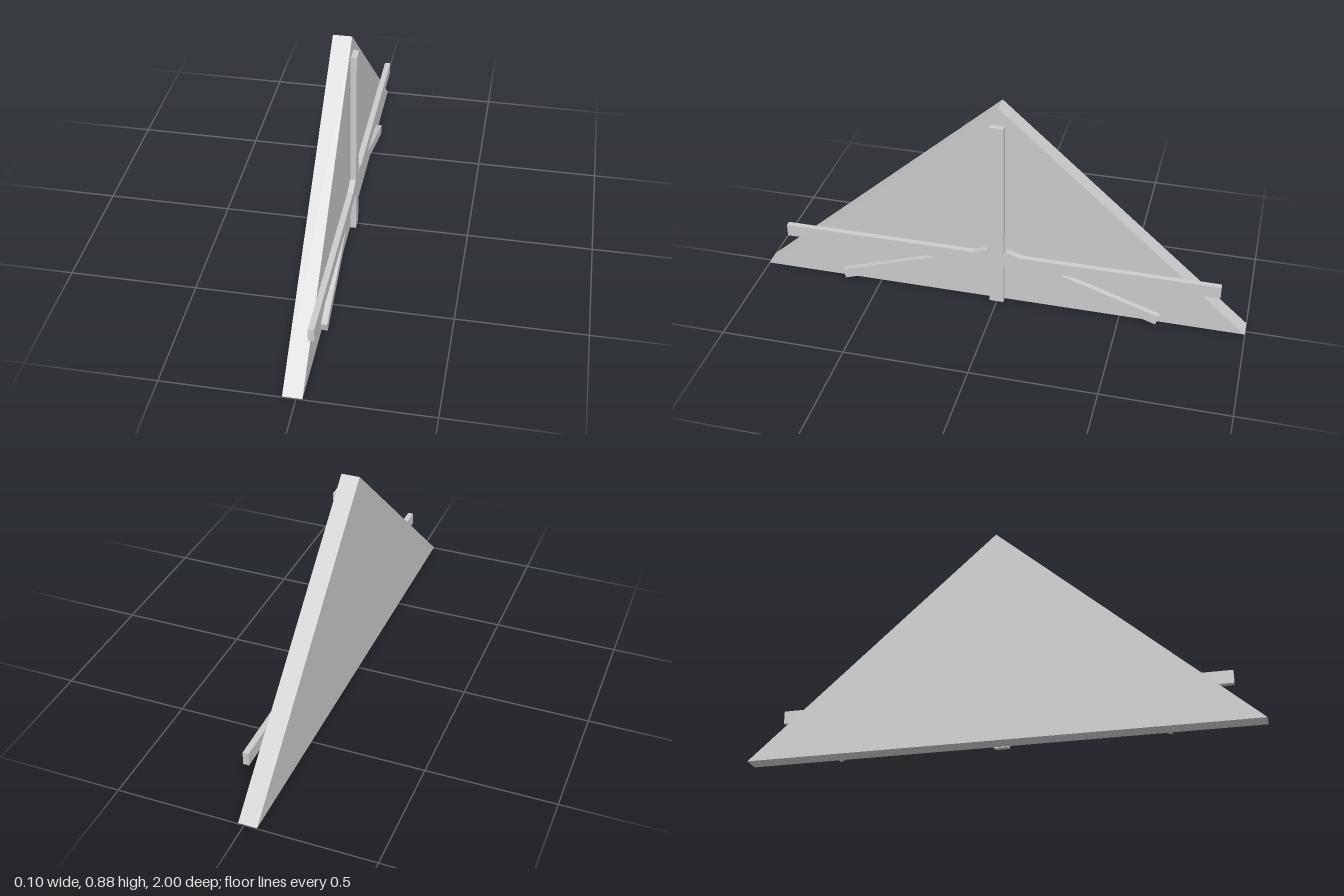
import * as THREE from 'three';

const material = new THREE.MeshStandardMaterial({ color: 0xcccccc, flatShading: true });

// Extrudes a side outline of [z, y] points between x0 and x1
function slab(name, points, x0, x1) {
  const shape = new THREE.Shape(points.map(([z, y]) => new THREE.Vector2(z, y)));
  const geometry = new THREE.ExtrudeGeometry(shape, { depth: x1 - x0, bevelEnabled: false });
  geometry.rotateY(-Math.PI / 2).translate(x1, 0, 0);
  const mesh = new THREE.Mesh(geometry, material);
  mesh.name = name;
  return mesh;
}

const rect = (z0, z1, y0, y1) => [[z0, y0], [z1, y0], [z1, y1], [z0, y1]];

export function createModel() {
  const group = new THREE.Group();
  group.name = 'gableTruss';
  const inner = 0.023, outer = 0.046;

  // Thick triangular gable wall
  group.add(slab('gablePanel', [[-1, 0.003], [1, 0.003], [0, 0.885]], -0.05, inner));

  // Upright post and horizontal beam on the panel's face
  group.add(slab('post', rect(-0.027, 0.031, 0, 0.812), inner, outer));
  group.add(slab('crossBeam', rect(-0.89, 0.89, 0.178, 0.23), inner, outer));

  // Sloping braces, mirrored about the post
  const brace = [[0.648, 0.004], [0.66, 0.043], [0.038, 0.25], [0.025, 0.211]];
  for (const [side, name] of [[1, 'frontBrace'], [-1, 'backBrace']]) {
    group.add(slab(name, brace.map(([z, y]) => [side * z, y]), inner, outer));
  }
  return group;
}
